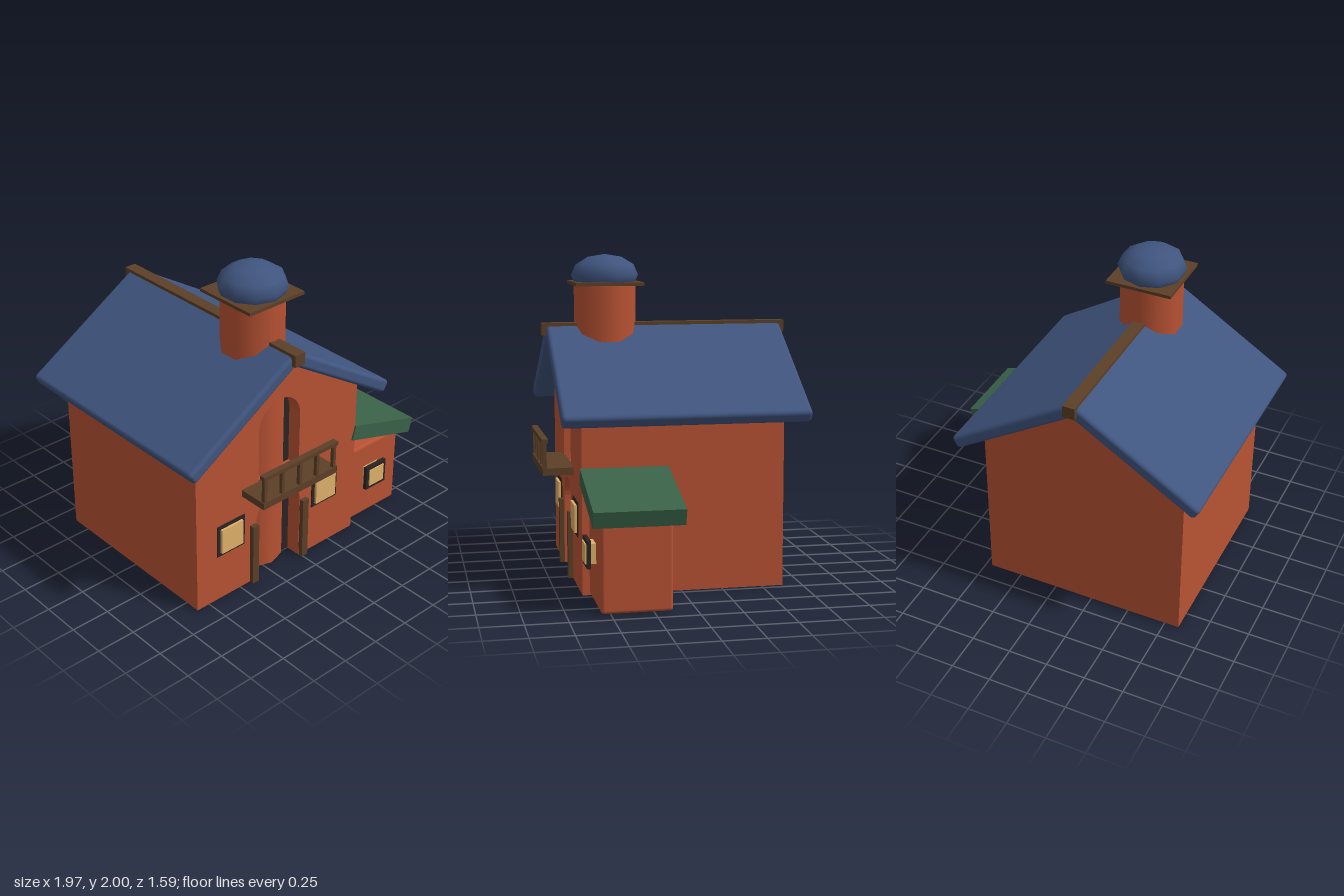
import * as THREE from 'three';
import { RoundedBoxGeometry } from 'three/addons/geometries/RoundedBoxGeometry.js';

const material = (color) => new THREE.MeshStandardMaterial({ color });
const BRICK = material(0xb85233);
const SLATE = material(0x40557f);
const WOOD = material(0x5c3f27);
const GREEN = material(0x3a6248);
const DARK = material(0x2a2423);
const GLOW = material(0xdeb068);

const CX = -0.19; // centre line of the house
const SLOPE = Math.atan(0.62); // roof pitch
const WALL = 0.65; // half width of the house
const PEAK = 1.48;
const EAVE = PEAK - WALL * 0.62;

export function createModel() {
  const model = new THREE.Group();

  function add(name, geometry, mat, x = 0, y = 0, z = 0, parent = model) {
    const mesh = new THREE.Mesh(geometry, mat);
    mesh.name = name;
    mesh.position.set(x, y, z);
    parent.add(mesh);
    return mesh;
  }

  // Box given by its limits on each axis
  function box(name, mat, [x0, x1], [y0, y1], [z0, z1], parent = model, radius = 0) {
    const size = [x1 - x0, y1 - y0, z1 - z0];
    const geometry = radius
      ? new RoundedBoxGeometry(...size, 2, radius)
      : new THREE.BoxGeometry(...size);
    return add(name, geometry, mat, (x0 + x1) / 2, (y0 + y1) / 2, (z0 + z1) / 2, parent);
  }

  const extrude = (shape, depth) =>
    new THREE.ExtrudeGeometry(shape, { depth, bevelEnabled: false, curveSegments: 10 });

  // Gabled outline, optionally with an arched doorway cut up from the ground
  function gable(doorRadius, doorSpring) {
    const shape = new THREE.Shape();
    shape.moveTo(-WALL, 0);
    if (doorRadius) {
      shape.lineTo(-doorRadius, 0);
      shape.lineTo(-doorRadius, doorSpring);
      shape.absarc(0, doorSpring, doorRadius, Math.PI, 0, true);
      shape.lineTo(doorRadius, 0);
    }
    shape.lineTo(WALL, 0);
    shape.lineTo(WALL, EAVE);
    shape.lineTo(0, PEAK);
    shape.lineTo(-WALL, EAVE);
    return shape;
  }

  // House body and the front wall with its two arches
  add('houseBody', extrude(gable(), 1.13), BRICK, CX, 0, -0.63);
  const front = gable(0.18, 0.42);
  const upperArch = new THREE.Path();
  upperArch.moveTo(-0.165, 0.68);
  upperArch.lineTo(0.165, 0.68);
  upperArch.lineTo(0.165, 1.05);
  upperArch.absarc(0, 1.05, 0.165, 0, Math.PI, false);
  front.holes.push(upperArch);
  add('frontWall', extrude(front, 0.1), BRICK, CX, 0, 0.5);

  // Dark panels at the back of the arches
  box('doorPanel', DARK, [CX - 0.19, CX + 0.19], [0.002, 0.62], [0.48, 0.495 + 0.006]);
  box('balconyDoorPanel', DARK, [CX - 0.18, CX + 0.18], [0.66, 1.23], [0.48, 0.507]);

  // Round chimney tower running down behind the arches, cap and dome
  add('chimneyTower', new THREE.CylinderGeometry(0.195, 0.195, 1.81, 10), BRICK, CX, 0.906, 0.355);
  box('chimneyCap', WOOD, [CX - 0.21, CX + 0.21], [1.81, 1.83], [0.14, 0.565]);
  const dome = add('chimneyDome', new THREE.SphereGeometry(0.212, 10, 6), SLATE, CX, 1.87, 0.355);
  dome.scale.y = 0.13 / 0.212;
  dome.rotation.y = Math.PI / 2;

  // Main roof: two mirrored slabs meeting under a ridge beam
  for (const side of [-1, 1]) {
    const pitch = new THREE.Group();
    pitch.name = side < 0 ? 'rightRoofSlope' : 'leftRoofSlope';
    pitch.position.set(CX, PEAK, -0.02);
    pitch.rotation.z = -side * SLOPE;
    const [start, end] = [-0.03, 0.89];
    add('roofSlab', new RoundedBoxGeometry(end - start, 0.085, 1.5, 3, 0.025), SLATE,
      side * (start + end) / 2, 0.0425, 0, pitch);
    model.add(pitch);
  }
  box('ridgeBeam', WOOD, [CX - 0.038, CX + 0.038], [1.5, 1.576], [-0.795, 0.757]);

  // Side shed with a sloping roof
  box('shed', BRICK, [0.4, 0.91], [0.005, 0.535], [0.14, 0.557], model, 0.02);
  const shedRoof = add('shedRoof', new THREE.BoxGeometry(0.553, 0.1, 0.53), GREEN, 0.71, 0.64, 0.345);
  shedRoof.rotation.z = -0.284;

  // Windows: dark frame with a glowing pane standing proud of it
  function window(name, x, y, w, h, border, back, frameZ) {
    const group = new THREE.Group();
    group.name = name;
    model.add(group);
    box('windowFrame', DARK, [x - w / 2, x + w / 2], [y - h / 2, y + h / 2], frameZ, group);
    const [pw, ph] = [w / 2 - border, h / 2 - border];
    box('windowPane', GLOW, [x - pw, x + pw], [y - ph, y + ph], [back, 0.622], group);
  }
  window('rightWindow', CX - 0.387, 0.425, 0.215, 0.215, 0.024, 0.58, [0.56, 0.606]);
  window('leftWindow', CX + 0.387, 0.425, 0.215, 0.215, 0.024, 0.58, [0.56, 0.606]);
  window('shedWindow', 0.663, 0.315, 0.175, 0.165, 0.024, 0.55, [0.59, 0.614]);

  // Door posts
  for (const side of [-1, 1]) {
    const x = CX + side * 0.207;
    box('doorPost', WOOD, [x - 0.024, x + 0.024], [0, 0.42], [0.59, 0.63]);
  }

  // Balcony with railing
  const balcony = new THREE.Group();
  balcony.name = 'balcony';
  model.add(balcony);
  box('balconyFloor', WOOD, [CX - 0.298, CX + 0.298], [0.665, 0.71], [0.59, 0.79], balcony);
  box('balconyRail', WOOD, [CX - 0.298, CX + 0.298], [0.865, 0.89], [0.755, 0.795], balcony);
  for (let i = -2; i <= 2; i++) {
    const x = CX + i * 0.14;
    box('baluster', WOOD, [x - 0.011, x + 0.011], [0.7, 0.87], [0.764, 0.787], balcony);
  }

  return model;
}
